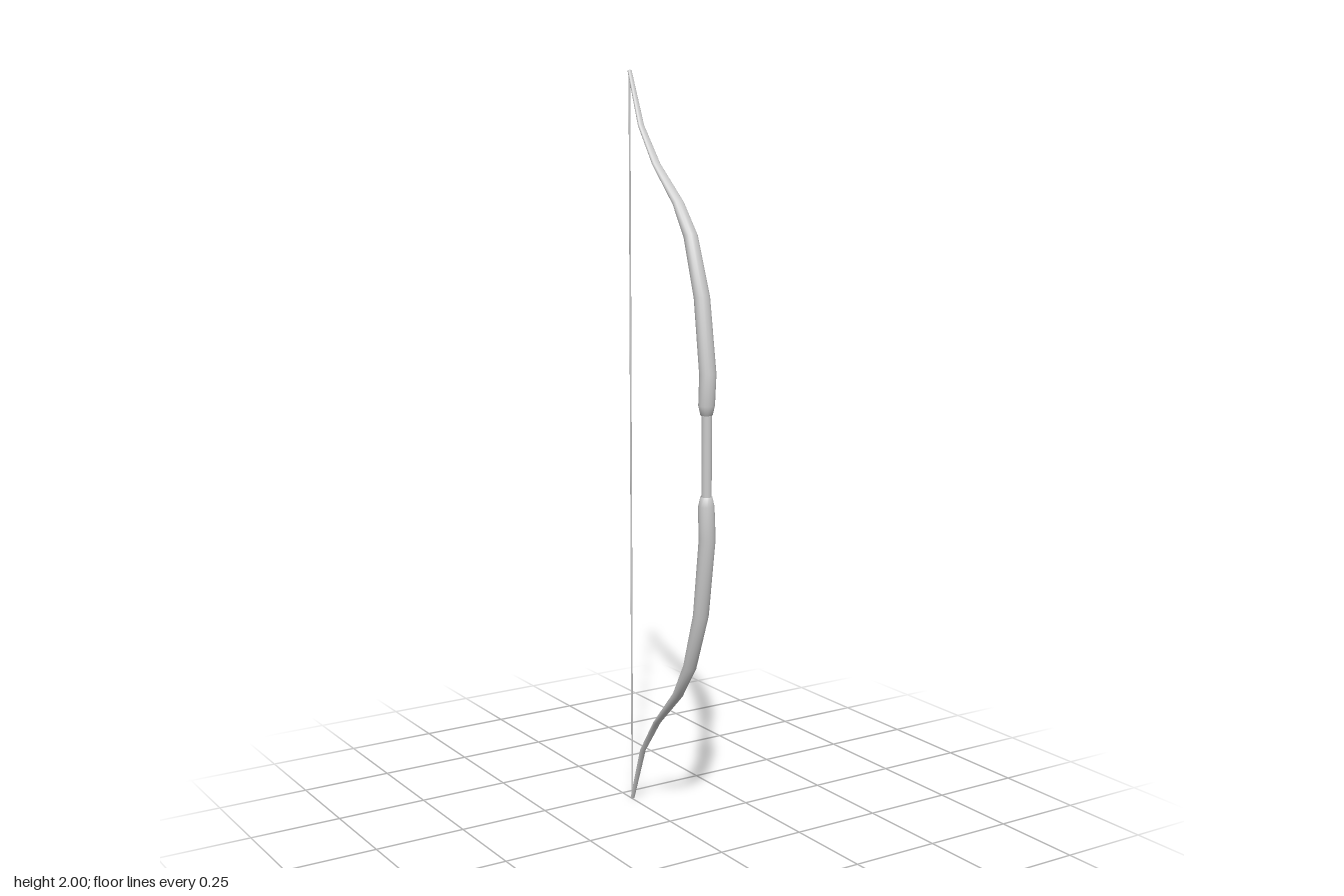
import * as THREE from 'three';

const material = new THREE.MeshStandardMaterial({ color: 0xcccccc });
const SIDES = 16;

// Smooth elliptical loft along rows of [y, z, half width, half thickness], listed upwards
function loft(name, rows) {
  const positions = [], indices = [];
  rows.forEach(([y, z, w, t], i) => {
    const a = rows[Math.max(i - 1, 0)], b = rows[Math.min(i + 1, rows.length - 1)];
    const length = Math.hypot(b[0] - a[0], b[1] - a[1]);
    const ty = (b[0] - a[0]) / length, tz = (b[1] - a[1]) / length;
    for (let j = 0; j < SIDES; j++) {
      const angle = (j / SIDES) * Math.PI * 2;
      const s = t * Math.sin(angle);
      positions.push(w * Math.cos(angle), y - tz * s, z + ty * s);
      if (i < rows.length - 1) {
        const p = i * SIDES + j, q = i * SIDES + (j + 1) % SIDES;
        indices.push(p, p + SIDES, q, q, p + SIDES, q + SIDES);
      }
    }
  });
  const geometry = new THREE.BufferGeometry();
  geometry.setAttribute('position', new THREE.Float32BufferAttribute(positions, 3));
  geometry.setIndex(indices);
  geometry.computeVertexNormals();
  const mesh = new THREE.Mesh(geometry, material);
  mesh.name = name;
  return mesh;
}

// Upright rod between two heights
function rod(name, radius, bottom, top, z, sides) {
  const mesh = new THREE.Mesh(new THREE.CylinderGeometry(radius, radius, top - bottom, sides), material);
  mesh.position.set(0, (bottom + top) / 2, z);
  mesh.name = name;
  return mesh;
}

// Shared limb stations from grip to tip: [z, half width, half thickness]
const stations = [
  [0.171, 0.0005, 0.0005],
  [0.171, 0.016, 0.015],
  [0.171, 0.022, 0.02],
  [0.176, 0.0225, 0.021],
  [0.148, 0.0215, 0.019],
  [0.096, 0.019, 0.016],
  [0.038, 0.016, 0.011],
  [-0.066, 0.012, 0.006],
  [-0.14, 0.009, 0.005],
  [-0.196, 0.006, 0.004],
  [-0.197, 0.0005, 0.0005],
];
const upperHeights = [1.138, 1.14, 1.165, 1.245, 1.435, 1.585, 1.665, 1.76, 1.857, 1.997, 2];
const lowerHeights = [0.932, 0.93, 0.905, 0.82, 0.613, 0.46, 0.368, 0.262, 0.16, 0.003, 0];
const limbRows = (heights) => heights.map((y, i) => [y, ...stations[i]]);

export function createModel() {
  const bow = new THREE.Group();
  bow.name = 'bow';
  bow.add(
    loft('upperLimb', limbRows(upperHeights)),
    loft('lowerLimb', limbRows(lowerHeights).reverse()),
    rod('grip', 0.0135, 0.92, 1.15, 0.172, 16),
    rod('bowstring', 0.0025, 0.004, 1.996, -0.197, 8),
  );
  return bow;
}
